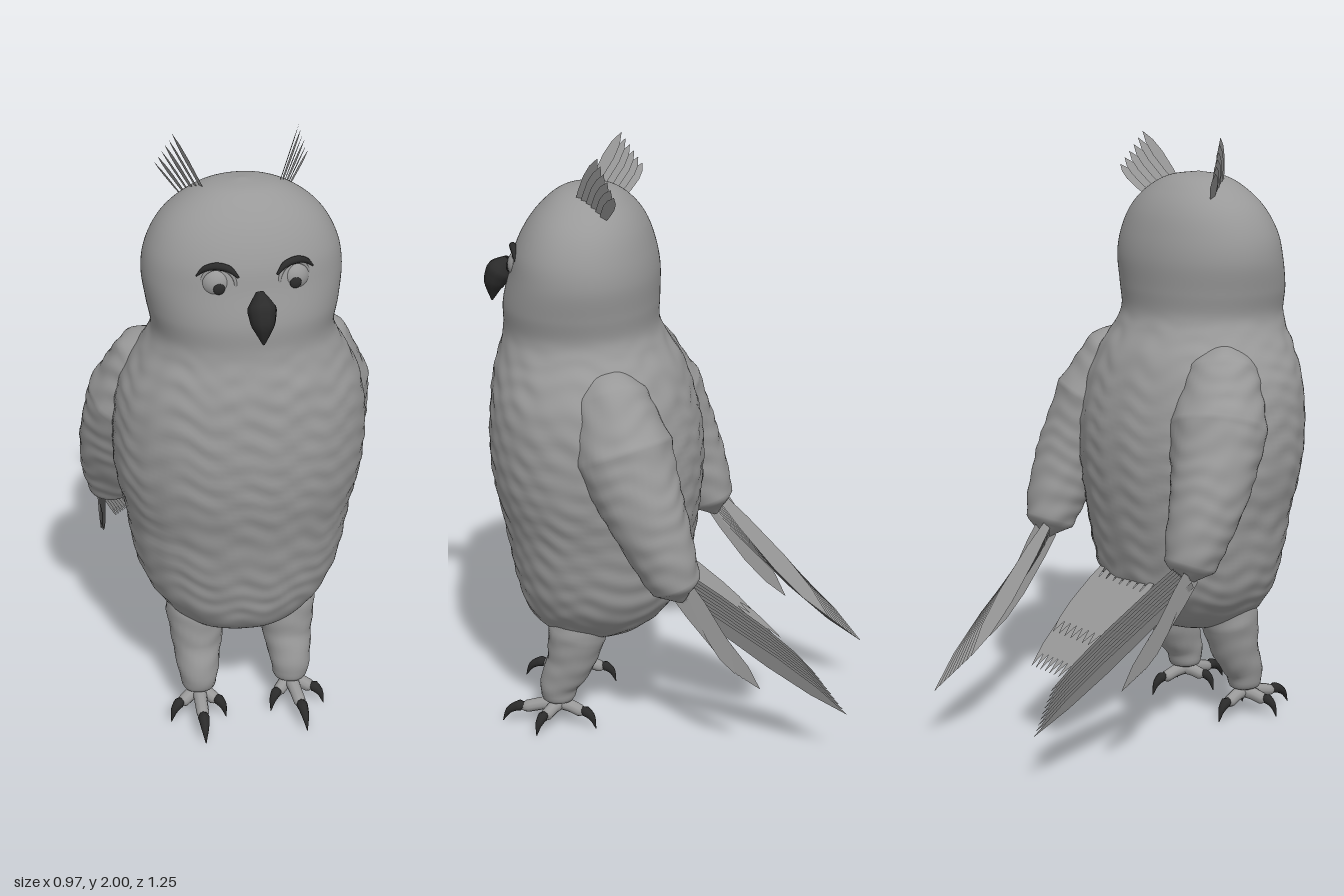
import * as THREE from 'three';
import { mergeVertices } from 'three/addons/utils/BufferGeometryUtils.js';

const V = (x, y, z) => new THREE.Vector3(x, y, z);
const mat = (name, color, side = THREE.FrontSide) => {
  const m = new THREE.MeshStandardMaterial({ color, side });
  m.name = name;
  return m;
};

// Small uneven ripples that suggest layered plumage
const ripple = (x, y, z) =>
  0.0018 * Math.sin(y * 84 + 1.6 * Math.sin(x * 33) + 1.3 * Math.sin(z * 29 + y * 9)) +
  0.0022 * Math.sin(x * 51 + y * 23) * Math.sin(z * 47 - y * 31);

// Round sweep through points [x, y, z, radius]
function sweep(points, { steps = 24, sides = 16, fluff = 0 } = {}) {
  const curve = new THREE.CatmullRomCurve3(points.map(p => V(p[0], p[1], p[2])));
  const geo = new THREE.TubeGeometry(curve, steps, 1, sides);
  const pos = geo.attributes.position;
  const p = V(0, 0, 0);
  for (let i = 0; i <= steps; i++) {
    const u = i / steps, c = curve.getPointAt(u);
    const f = curve.getUtoTmapping(u) * (points.length - 1);
    const k = Math.min(Math.floor(f), points.length - 2);
    const r = THREE.MathUtils.lerp(points[k][3], points[k + 1][3], f - k);
    for (let j = 0; j <= sides; j++) {
      const n = i * (sides + 1) + j;
      p.fromBufferAttribute(pos, n).sub(c);
      const q = c.clone().addScaledVector(p, r);
      q.addScaledVector(p, fluff * ripple(q.x, q.y, q.z));
      pos.setXYZ(n, q.x, q.y, q.z);
    }
  }
  geo.deleteAttribute('uv');
  geo.deleteAttribute('normal');
  const out = mergeVertices(geo, 1e-5);
  out.computeVertexNormals();
  return out;
}

// Flat pointed feather; side is the direction of its breadth
function feather(base, tip, side, width) {
  const rows = [[0, 0.5], [0.2, 0.8], [0.55, 1], [0.8, 0.75], [1, 0.03]];
  const pos = [], idx = [];
  rows.forEach(([t, w], i) => {
    const c = base.clone().lerp(tip, t);
    for (const s of [-1, 1]) pos.push(...c.clone().addScaledVector(side, s * w * width / 2).toArray());
    if (i) { const k = 2 * i; idx.push(k - 2, k - 1, k, k - 1, k + 1, k); }
  });
  const geo = new THREE.BufferGeometry();
  geo.setAttribute('position', new THREE.Float32BufferAttribute(pos, 3));
  geo.setIndex(idx);
  geo.computeVertexNormals();
  return geo;
}

// Head and body in one skin, from rows of [y, half width, front z, back z]
function bodyGeometry() {
  const rows = [
    [0.325, 0, 0.28, 0.28], [0.33, 0.13, 0.39, 0.16], [0.37, 0.21, 0.46, 0.07], [0.43, 0.27, 0.5, 0.01],
    [0.5, 0.315, 0.52, -0.035], [0.6, 0.345, 0.54, -0.06], [0.75, 0.37, 0.565, -0.085], [0.9, 0.4, 0.595, -0.1],
    [1.05, 0.405, 0.605, -0.095], [1.2, 0.385, 0.595, -0.06], [1.3, 0.34, 0.58, -0.02], [1.37, 0.3, 0.56, 0.025],
    [1.42, 0.285, 0.552, 0.045], [1.5, 0.298, 0.55, 0.045], [1.6, 0.31, 0.525, 0.045], [1.68, 0.297, 0.505, 0.06],
    [1.76, 0.255, 0.465, 0.09], [1.82, 0.19, 0.415, 0.135], [1.86, 0.11, 0.36, 0.19], [1.877, 0, 0.28, 0.28],
  ];
  const spine = new THREE.CatmullRomCurve3(rows.map(r => V(r[1], r[0], (r[2] + r[3]) / 2)));
  const depth = new THREE.CatmullRomCurve3(rows.map(r => V((r[2] - r[3]) / 2, r[0], 0)));
  const N = 170, M = 110, pos = [], idx = [];
  const bulge = v => Math.sign(v) * Math.abs(v) ** 0.95;
  for (let i = 0; i <= N; i++) {
    const a = spine.getPoint(i / N), d = Math.max(depth.getPoint(i / N).x, 0);
    const w = Math.max(a.x, 0);
    const fluff = THREE.MathUtils.smoothstep(1.45 - a.y, 0, 0.15) * Math.min(1, w * 4);
    for (let j = 0; j < M; j++) {
      const t = j / M * Math.PI * 2, s = bulge(Math.sin(t)), c = bulge(Math.cos(t));
      const f = fluff * ripple(w * s, a.y, d * c);
      pos.push((w + f) * s, a.y, a.z + (d + f) * c);
      const k = i * M + j, n = i * M + (j + 1) % M;
      if (i < N) idx.push(k, n, k + M, n, n + M, k + M);
    }
  }
  const geo = new THREE.BufferGeometry();
  geo.setAttribute('position', new THREE.Float32BufferAttribute(pos, 3));
  geo.setIndex(idx);
  const out = mergeVertices(geo, 1e-5);
  out.computeVertexNormals();
  return out;
}

export function createModel() {
  const root = new THREE.Group();
  root.name = 'owl';
  const plumage = mat('plumage grey', 0x999999);
  const vane = mat('feather grey', 0x999999, THREE.DoubleSide);
  const dark = mat('horn black', 0x2b2b2b, THREE.DoubleSide);
  const add = (name, geo, material, parent = root) => {
    const m = new THREE.Mesh(geo, material);
    m.name = name;
    parent.add(m);
    return m;
  };
  const group = name => {
    const g = new THREE.Group();
    g.name = name;
    root.add(g);
    return g;
  };

  add('body', bodyGeometry(), plumage);
  add('beak', sweep([[0, 1.615, 0.54, 0.012], [0, 1.575, 0.57, 0.046], [0, 1.53, 0.59, 0.037],
    [0, 1.47, 0.6, 0.003]], { steps: 14, sides: 10 }), dark);

  // Tail fan: narrow feathers in front, broad coverts over their roots
  const tail = group('tail');
  for (let i = 0; i < 8; i++) {
    const k = i / 7 * 2 - 1;
    add('tailFeather', feather(V(k * 0.14, 0.53, -0.03), V(k * 0.085, 0.27, -0.37), V(1, 0, 0), 0.05), vane, tail);
    add('tailCovert', feather(V(k * 0.13, 0.54, -0.03), V(k * 0.11, 0.36, -0.26), V(1, 0, 0), 0.05), vane, tail);
  }

  for (const s of [1, -1]) {
    const side = s > 0 ? 'left' : 'right';

    // Folded wing sloping back from the shoulder
    const wing = group(side + 'Wing');
    add('wingArm', sweep([[0.2 * s, 1.34, 0.2, 0.02], [0.255 * s, 1.25, 0.16, 0.12], [0.305 * s, 1.08, 0.105, 0.16],
      [0.355 * s, 0.9, 0.025, 0.13], [0.37 * s, 0.75, -0.04, 0.103], [0.37 * s, 0.66, -0.075, 0.082],
      [0.37 * s, 0.6, -0.095, 0.003]], { steps: 80, sides: 44, fluff: 1 }), plumage, wing);

    // Long and short flight feathers; the left wing is held a little tighter
    const tuck = s > 0 ? 0.04 : 0;
    for (let i = 0; i < 9; i++) {
      const k = i / 8;
      add('longFlightFeather', feather(V((0.405 - 0.04 * k - tuck) * s, 0.61 + 0.05 * k, -0.09 - 0.03 * k),
        V((0.275 - 0.055 * k) * s, 0.19 + 0.11 * k, -0.63 + 0.11 * k),
        V(0.3 * s, 0.7, -0.55), 0.065), vane, wing);
    }
    for (let i = 0; i < 7; i++) {
      const k = i / 6;
      add('shortFlightFeather', feather(V((0.395 + 0.015 * k - tuck) * s, 0.62 + 0.03 * k, -0.07 - 0.05 * k),
        V((0.365 + 0.02 * k - tuck * 0.3) * s, 0.3 + 0.06 * k, -0.35 + 0.08 * k),
        V(0.05 * s, 0.6, -0.75), 0.065), vane, wing);
    }

    // Ear tuft of loose, spread feathers
    const tuft = group(side + 'EarTuft');
    for (let i = 0; i < 6; i++) {
      const k = i / 5;
      add('tuftFeather', feather(V((0.115 + 0.055 * k) * s, 1.84 - 0.04 * k, 0.28 - 0.09 * k),
        V((0.195 + 0.045 * k) * s, 2 - 0.11 * k, 0.2 - 0.06 * k),
        V((i % 2 ? 0.05 : 0.15) * s, -0.3, -0.85), 0.042), vane, tuft);
    }

    // Eye, pupil and brow
    const eye = group(side + 'Eye');
    add('eyeball', new THREE.SphereGeometry(0.054, 28, 20), plumage, eye).position.set(0.115 * s, 1.63, 0.46);
    const rim = add('eyeRim', new THREE.TorusGeometry(0.051, 0.005, 8, 32), plumage, eye);
    rim.position.set(0.115 * s, 1.63, 0.495);
    rim.rotation.y = 0.3 * s;
    const pupil = add('pupil', new THREE.SphereGeometry(0.018, 16, 12), dark, eye);
    pupil.position.set(0.116 * s, 1.622, 0.511);
    pupil.scale.z = 0.4;
    add('brow', sweep([[0.058 * s, 1.655, 0.515, 0.003], [0.085 * s, 1.68, 0.504, 0.011], [0.12 * s, 1.688, 0.494, 0.012],
      [0.155 * s, 1.677, 0.481, 0.009], [0.178 * s, 1.655, 0.475, 0.002]], { sides: 8 }), dark, eye);

    // Feathered leg
    const leg = group(side + 'Leg');
    add('shank', sweep([[0.15 * s, 0.48, 0.27, 0.09], [0.152 * s, 0.36, 0.3, 0.1], [0.155 * s, 0.25, 0.325, 0.082],
      [0.157 * s, 0.16, 0.365, 0.066], [0.157 * s, 0.105, 0.37, 0.055], [0.157 * s, 0.08, 0.37, 0.004]],
      { steps: 36, sides: 24, fluff: 0.6 }), plumage, leg);

    // Four toes with hooked claws: [dx, dz] of each claw tip from the ankle
    for (const [dx, dz] of [[0.015, 0.2], [0.105, 0.06], [-0.08, 0.07], [0.02, -0.13]]) {
      const at = (t, y, r) => [(0.157 + dx * t) * s, y, 0.365 + dz * t, r];
      add('toe', sweep([at(0, 0.085, 0.026), at(0.3, 0.075, 0.022), at(0.6, 0.06, 0.021), at(0.7, 0.055, 0.004)],
        { steps: 10, sides: 10 }), plumage, leg);
      add('claw', sweep([at(0.58, 0.06, 0.006), at(0.68, 0.064, 0.02), at(0.88, 0.045, 0.013), at(1, 0.002, 0.001)],
        { steps: 10, sides: 8 }), dark, leg);
    }
  }
  return root;
}
